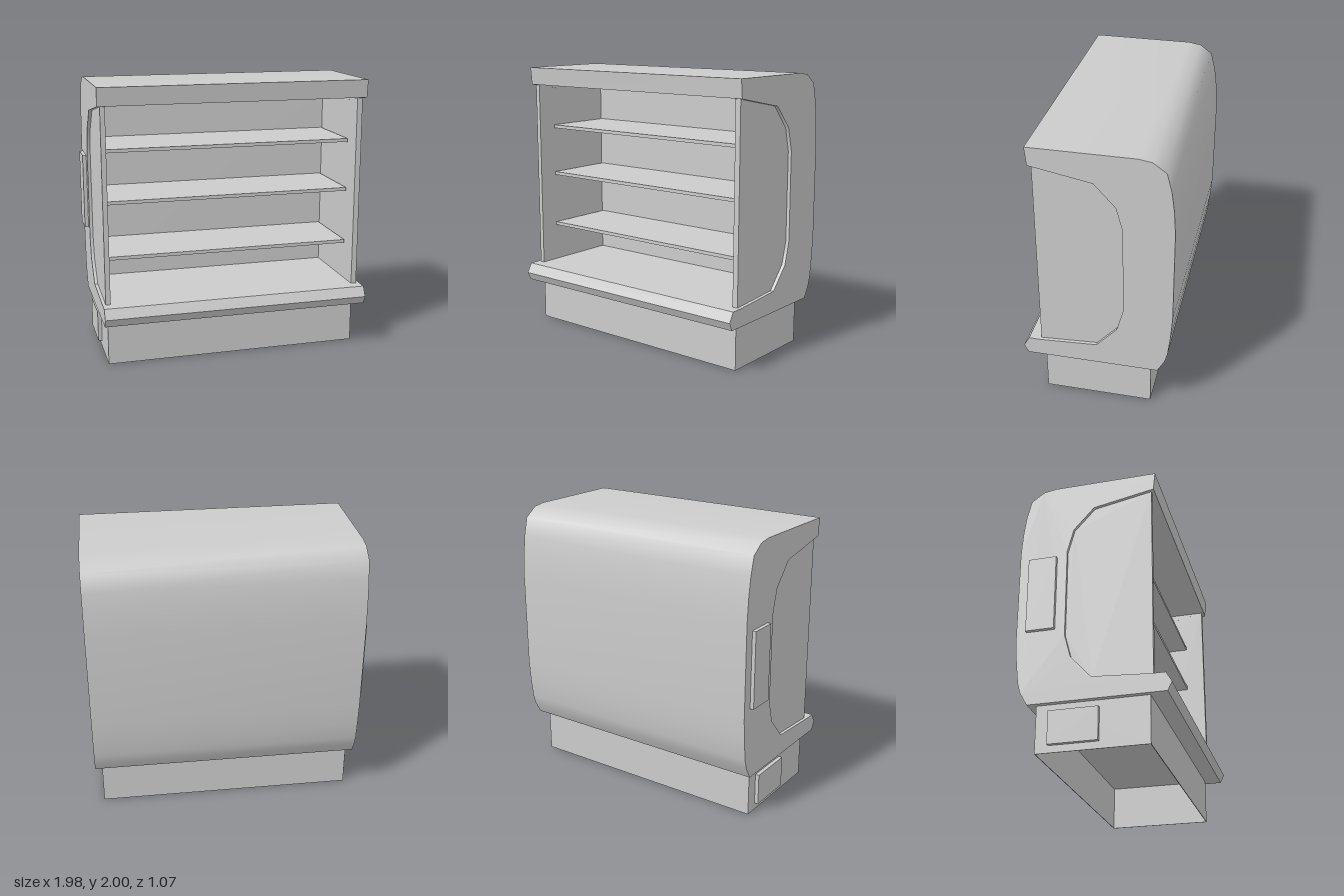
import * as THREE from 'three';
import { toCreasedNormals } from 'three/addons/utils/BufferGeometryUtils.js';

const material = new THREE.MeshStandardMaterial({ color: 0xcccccc });
const thin = new THREE.MeshStandardMaterial({ color: 0xcccccc, side: THREE.DoubleSide });

// Edge of the side openings as [z, y], bottom front to top front
const opening = [
  [0.41, 0.46], [0, 0.485], [-0.145, 0.645], [-0.19, 0.81],
  [-0.19, 1.46], [-0.145, 1.63], [0, 1.79],
];

// Canopy, rounded back and bumper as [z, y], top front to bumper top
const outside = [
  [0.43, 1.87], [0.443, 2], [-0.29, 2], [-0.38, 1.985], [-0.47, 1.92],
  [-0.503, 1.79], [-0.522, 1.65], [-0.533, 1.48], [-0.533, 0.8], [-0.522, 0.64],
  [-0.505, 0.49], [-0.485, 0.42], [-0.435, 0.33],
  [0.505, 0.33], [0.535, 0.39], [0.495, 0.46],
];

// Flat floor, back wall and ceiling of the display space
const liner = [[0.41, 0.46], [-0.28, 0.46], [-0.28, 1.87], [0.43, 1.87]];

const toShape = (points) => new THREE.Shape(points.map(([z, y]) => new THREE.Vector2(z, y)));

function createModel() {
  const model = new THREE.Group();

  const add = (name, geometry, surface = material) => {
    const mesh = new THREE.Mesh(geometry, surface);
    mesh.name = name;
    model.add(mesh);
    return mesh;
  };

  // Box given by its minimum and maximum corners
  const addBox = (name, [x0, y0, z0], [x1, y1, z1]) => {
    const mesh = add(name, new THREE.BoxGeometry(x1 - x0, y1 - y0, z1 - z0));
    mesh.position.set((x0 + x1) / 2, (y0 + y1) / 2, (z0 + z1) / 2);
  };

  // Solid side profile extruded from x0 to x1
  const addSolid = (name, points, x0, x1) => {
    const geometry = new THREE.ExtrudeGeometry(toShape(points), { depth: x1 - x0, bevelEnabled: false });
    add(name, geometry.rotateY(-Math.PI / 2).translate(x1, 0, 0));
  };

  // Open sheet that follows a side profile from x0 to x1
  const addSheet = (name, points, x0, x1) => {
    const positions = [];
    for (let i = 0; i < points.length - 1; i++) {
      const [[za, ya], [zb, yb]] = [points[i], points[i + 1]];
      positions.push(x0, ya, za, x1, ya, za, x1, yb, zb);
      positions.push(x0, ya, za, x1, yb, zb, x0, yb, zb);
    }
    const geometry = new THREE.BufferGeometry();
    geometry.setAttribute('position', new THREE.Float32BufferAttribute(positions, 3));
    add(name, toCreasedNormals(geometry, 0.72), thin);
  };

  // Outer skin and inner liner of the cabinet
  addSheet('cabinetSkin', [...outside, opening[0]], -0.963, 0.99);
  addSheet('cabinetLiner', liner, -0.905, 0.925);

  // End walls with recessed panels closing the openings
  const endFace = toShape([...outside, ...opening]);
  const panel = [...opening, [0.41, 1.866]];
  const ends = [
    ['right', -0.963, -0.905, -0.94, -0.905],
    ['left', 0.925, 0.99, 0.925, 0.965],
  ];
  for (const [side, x0, x1, panel0, panel1] of ends) {
    for (const x of [x0, x1]) {
      const face = new THREE.ShapeGeometry(endFace);
      add(`${side}EndWall`, face.rotateY(-Math.PI / 2).translate(x, 0, 0), thin);
    }
    addSheet(`${side}OpeningEdge`, [...opening, outside[0]], x0, x1);
    addSolid(`${side}EndPanel`, panel, panel0, panel1);
  }

  // Shelves
  for (const y of [0.742, 1.15, 1.523]) {
    addBox('shelf', [-0.895, y, -0.28], [0.917, y + 0.025, 0.27]);
  }

  // Hollow plinth, open underneath
  const rect = (path, x0, y0, x1, y1) =>
    path.moveTo(x0, y0).lineTo(x1, y0).lineTo(x1, y1).lineTo(x0, y1).closePath();
  const frame = new THREE.Shape();
  rect(frame, -0.927, -0.387, 0.94, 0.38);
  const hole = new THREE.Path();
  rect(hole, -0.922, -0.382, 0.935, 0.375);
  frame.holes.push(hole);
  const plinth = new THREE.ExtrudeGeometry(frame, { depth: 0.33, bevelEnabled: false });
  add('plinth', plinth.rotateX(-Math.PI / 2));

  // Service covers on the right end
  addBox('upperCover', [-0.99, 0.86, -0.46], [-0.95, 1.415, -0.26]);
  addBox('plinthCover', [-0.955, 0.05, -0.29], [-0.91, 0.28, 0.05]);

  return model;
}

export { createModel };
